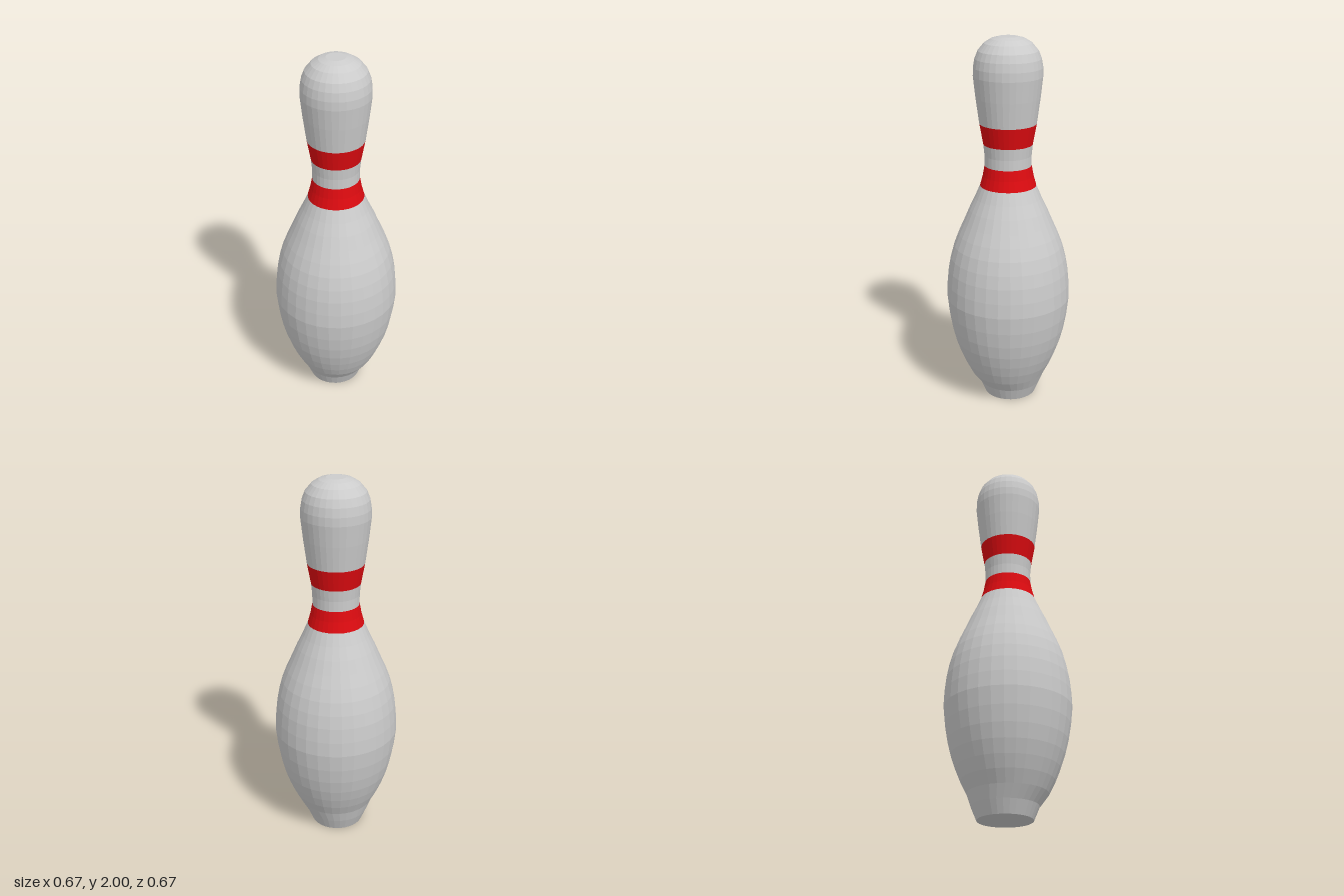
import * as THREE from 'three';

const SIDES = 32;

// One turned section of the pin, from [radius, height] pairs running upward
function section(name, color, profile) {
  const points = profile.map(([r, y]) => new THREE.Vector2(r, y));
  const geometry = new THREE.LatheGeometry(points, SIDES);
  const material = new THREE.MeshStandardMaterial({ color, flatShading: true });
  const mesh = new THREE.Mesh(geometry, material);
  mesh.name = name;
  return mesh;
}

export function createModel() {
  const pin = new THREE.Group();
  pin.name = 'bowlingPin';
  const grey = 0xcccccc, red = 0xdd0b10;

  // Closed base and swelling belly
  const belly = section('belly', grey, [
    [0, 0], [0.143, 0], [0.172, 0.07], [0.207, 0.135], [0.24, 0.2], [0.267, 0.265],
    [0.291, 0.335], [0.31, 0.41], [0.325, 0.495], [0.335, 0.59], [0.332, 0.67],
    [0.324, 0.75], [0.311, 0.82], [0.292, 0.89], [0.267, 0.955], [0.238, 1.02],
    [0.208, 1.09], [0.177, 1.155], [0.149, 1.22],
  ]);
  // The foot sits slightly toward the back
  const position = belly.geometry.attributes.position;
  for (let i = 0; i < position.count; i++) {
    if (position.getY(i) < 0.1) position.setZ(i, position.getZ(i) - 0.014);
  }
  belly.geometry.computeVertexNormals();
  pin.add(belly);

  // Neck with its two stripes
  pin.add(section('lowerStripe', red, [[0.149, 1.22], [0.134, 1.275], [0.124, 1.33]]));
  pin.add(section('neck', grey, [[0.124, 1.33], [0.124, 1.385], [0.13, 1.445]]));
  pin.add(section('upperStripe', red, [[0.13, 1.445], [0.15, 1.555]]));

  // Rounded head with a small flat crown
  pin.add(section('head', grey, [
    [0.15, 1.555], [0.168, 1.69], [0.18, 1.8], [0.179, 1.845], [0.171, 1.89],
    [0.155, 1.93], [0.123, 1.968], [0.087, 1.99], [0.05, 2], [0, 2],
  ]));
  return pin;
}
